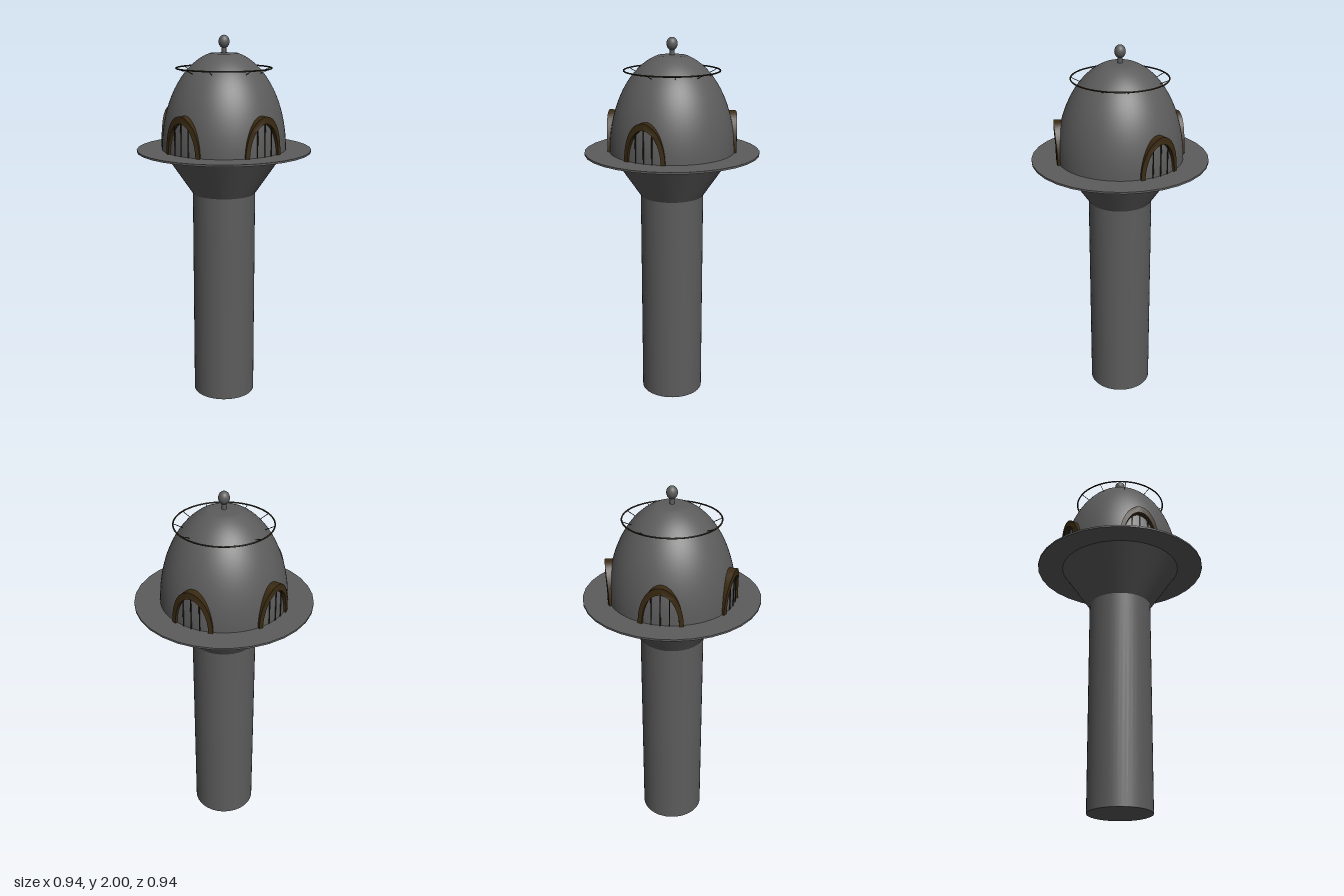
import * as THREE from 'three';
import { toCreasedNormals } from 'three/addons/utils/BufferGeometryUtils.js';

const DECK = 1.4;          // height of the walkway
const DOME_R = 0.333, DOME_H = 0.52;

const stone = new THREE.MeshStandardMaterial({ color: 0x5c5c5c });
const wood = new THREE.MeshStandardMaterial({ color: 0x3a2a12 });
const iron = new THREE.MeshStandardMaterial({ color: 0x2a2418 });

function add(parent, name, geometry, material, y = 0) {
  const mesh = new THREE.Mesh(geometry, material);
  mesh.name = name;
  mesh.position.y = y;
  parent.add(mesh);
  return mesh;
}

// Thin round bar between two points
function rod(a, b, radius) {
  return new THREE.TubeGeometry(new THREE.LineCurve3(a, b), 1, radius, 6);
}

// Half-ellipse outline from the right foot over the top to the left foot
function archPoints(halfWidth, height) {
  const points = [];
  for (let i = 0; i <= 32; i++) {
    const a = (i / 32) * Math.PI;
    points.push(new THREE.Vector2(halfWidth * Math.cos(a), height * Math.sin(a)));
  }
  return points;
}

// Arched frame bent round the dome
function archGeometry(inner, outer) {
  const shape = new THREE.Shape([
    ...archPoints(outer.w, outer.h),
    ...archPoints(inner.w, inner.h).reverse(),
  ]);
  const geometry = new THREE.ExtrudeGeometry(shape, { depth: 0.05, bevelEnabled: false });
  const p = geometry.attributes.position;
  for (let i = 0; i < p.count; i++) {
    const a = p.getX(i) / 0.345;
    const r = 0.295 + p.getZ(i);
    p.setXYZ(i, r * Math.sin(a), p.getY(i), r * Math.cos(a));
  }
  return toCreasedNormals(geometry, 0.6);
}

function createWindow() {
  const group = new THREE.Group();
  group.name = 'archedWindow';
  const inner = { w: 0.095, h: 0.173 };
  add(group, 'windowFrame', archGeometry(inner, { w: 0.118, h: 0.21 }), wood);
  // Upright bars
  for (const x of [-0.046, 0, 0.046]) {
    const top = inner.h * Math.sqrt(1 - (x / inner.w) ** 2) + 0.005;
    const z = Math.sqrt(0.336 ** 2 - x * x);
    add(group, 'windowBar', rod(new THREE.Vector3(x, 0, z), new THREE.Vector3(x, top, z), 0.003), iron);
  }
  group.position.y = DECK;
  return group;
}

export function createModel() {
  const model = new THREE.Group();
  model.name = 'tower';

  // Shaft, flared neck and walkway
  add(model, 'shaft', new THREE.CylinderGeometry(0.17, 0.17, 1.16, 48), stone, 0.58);
  add(model, 'flaredNeck', new THREE.CylinderGeometry(DOME_R, 0.17, 0.24, 48), stone, 1.28);
  add(model, 'walkway', new THREE.CylinderGeometry(0.468, 0.468, 0.01, 32), stone, DECK - 0.002);

  // Dome with a small flat crown
  const profile = [];
  for (let i = 0; i <= 24; i++) {
    const t = (i / 24) * 1.34;
    profile.push(new THREE.Vector2(DOME_R * Math.cos(t), DOME_H * Math.sin(t)));
  }
  profile.push(new THREE.Vector2(0, DOME_H * Math.sin(1.34) + 0.002));
  add(model, 'dome', new THREE.LatheGeometry(profile, 64), stone, DECK);

  // Finial
  add(model, 'finialStem', new THREE.CylinderGeometry(0.012, 0.012, 0.06, 16), stone, 1.925);
  const ball = add(model, 'finialBall', new THREE.SphereGeometry(0.029, 24, 16), stone, 1.966);
  ball.scale.y = 1.17;

  // Arched windows
  for (let i = 0; i < 4; i++) {
    const win = createWindow();
    win.rotation.y = -Math.PI + i * THREE.MathUtils.degToRad(78.5);
    model.add(win);
  }

  // Hoop round the top of the dome, held by short struts
  const hoop = add(model, 'hoop', new THREE.TorusGeometry(0.252, 0.004, 8, 64), iron, 1.83);
  hoop.rotation.x = Math.PI / 2;
  const strut = rod(new THREE.Vector3(0, 1.83, 0.252), new THREE.Vector3(0, 1.808, 0.203), 0.0018);
  for (let i = 0; i < 10; i++) {
    add(model, 'hoopStrut', strut, iron).rotation.y = -0.6 * i;
  }

  return model;
}
